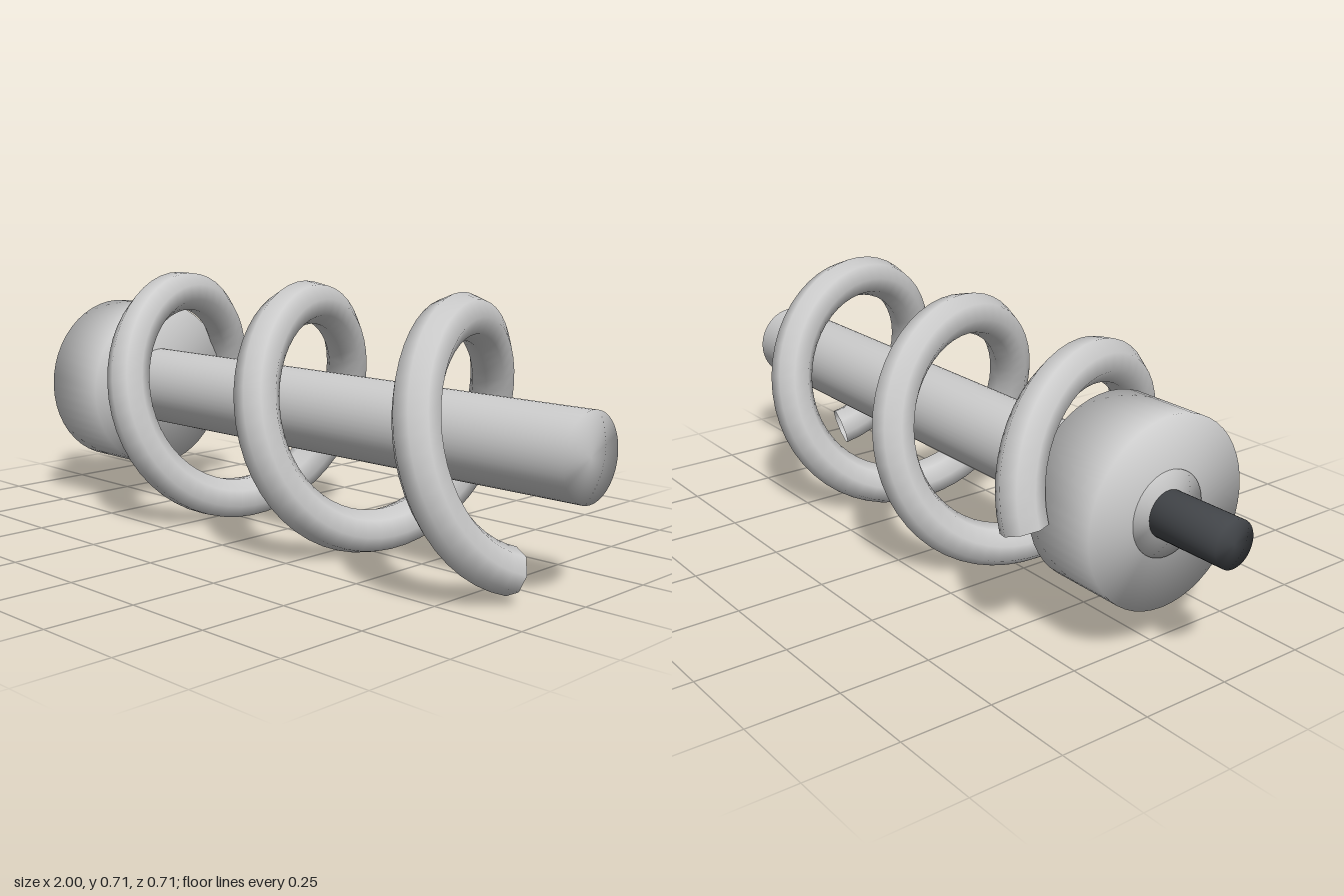
import * as THREE from 'three';
import { mergeVertices } from 'three/addons/utils/BufferGeometryUtils.js';

const AXIS_Y = 0.358;

// Closed cylinder along x, welded so the shading rolls softly over its ends
function barrel(name, x0, x1, radius, material, sides = 48) {
  let geo = new THREE.CylinderGeometry(radius, radius, x1 - x0, sides);
  geo.deleteAttribute('normal');
  geo.deleteAttribute('uv');
  geo = mergeVertices(geo, 1e-4);
  geo.computeVertexNormals();
  geo.rotateZ(-Math.PI / 2);
  const mesh = new THREE.Mesh(geo, material);
  mesh.name = name;
  mesh.position.set((x0 + x1) / 2, AXIS_Y, 0);
  return mesh;
}

// Helix around the x axis, passing over the top at x = topX
class Helix extends THREE.Curve {
  constructor(x0, x1, radius, pitch, topX) {
    super();
    Object.assign(this, { x0, x1, radius, pitch, topX });
  }
  getPoint(t, target = new THREE.Vector3()) {
    const x = this.x0 + (this.x1 - this.x0) * t;
    const a = ((x - this.topX) / this.pitch) * Math.PI * 2;
    return target.set(x, AXIS_Y + this.radius * Math.cos(a), this.radius * Math.sin(a));
  }
}

export function createModel() {
  const model = new THREE.Group();
  model.name = 'augerBit';
  const grey = new THREE.MeshStandardMaterial({ color: 0xcccccc });
  const dark = new THREE.MeshStandardMaterial({ color: 0x43464a });
  const open = new THREE.MeshStandardMaterial({ color: 0xcccccc, side: THREE.DoubleSide });

  // Drive pin, collar and long shaft share one axis
  model.add(barrel('drivePin', -1, -0.78, 0.062, dark, 32));
  model.add(barrel('collar', -0.785, -0.568, 0.25, grey));
  model.add(barrel('shaft', -0.788, 1, 0.112, grey));

  // Open-ended spiral tube wound around the shaft
  const path = new Helix(-0.61, 0.848, 0.297, 0.537, -0.469);
  const spiral = new THREE.Mesh(new THREE.TubeGeometry(path, 130, 0.06, 8, false), open);
  spiral.name = 'spiralTube';
  model.add(spiral);

  return model;
}
